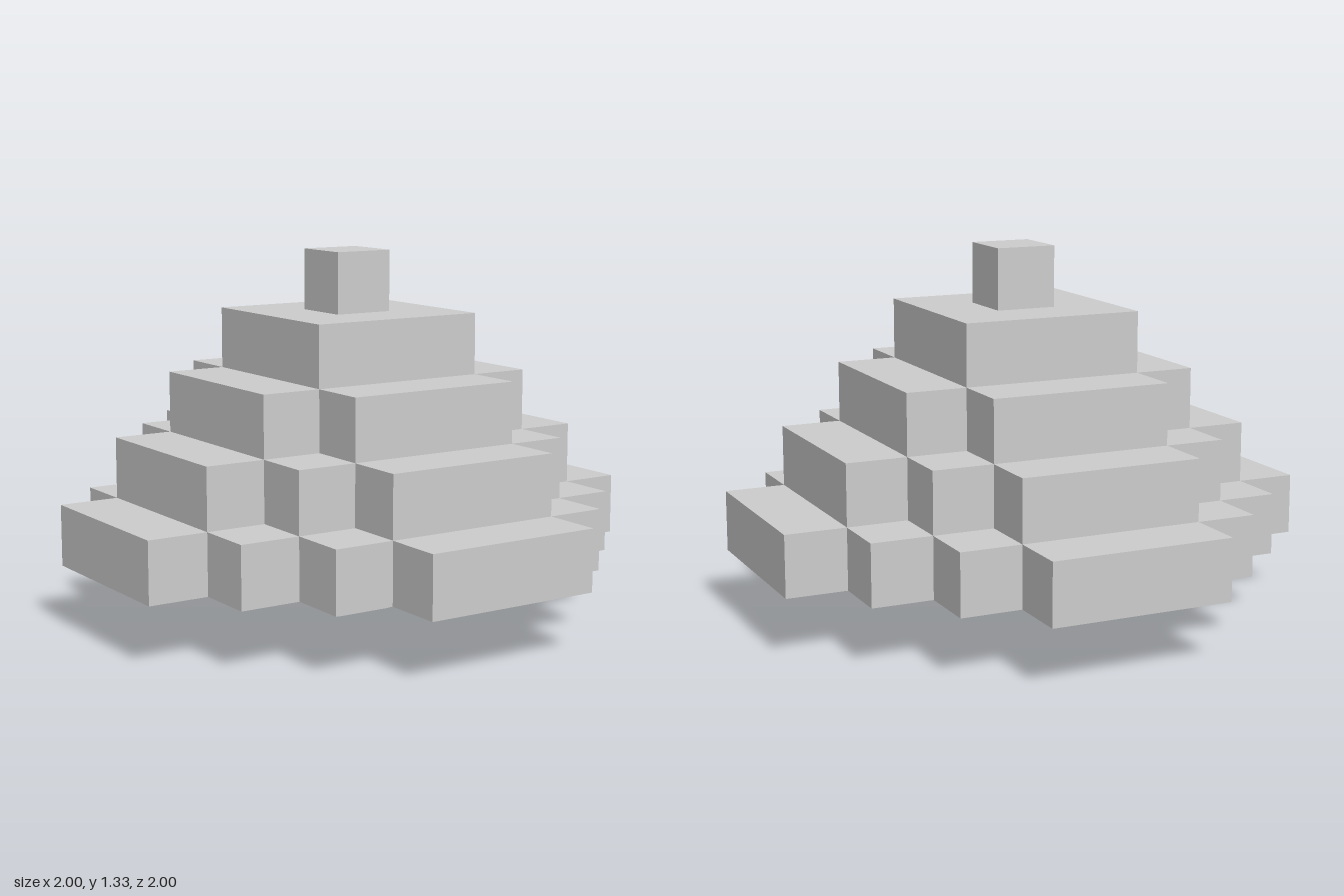
import * as THREE from 'three';

const U = 2 / 9; // one block
const material = new THREE.MeshStandardMaterial({ color: 0xcccccc, flatShading: true });

// Stepped diamond outline with `steps` outward corners per quadrant
function steppedOutline(steps) {
  const quadrant = [];
  for (let i = 0; i < steps; i++) {
    const x = steps + 0.5 - i;
    const y = 1.5 + i;
    if (i > 0) quadrant.push([x, y - 1]); // inner corner
    quadrant.push([x, y]); // outer corner
  }
  const points = [];
  for (let q = 0; q < 4; q++) {
    for (const [x, y] of quadrant) {
      const [px, py] = [[x, y], [-y, x], [-x, -y], [y, -x]][q];
      points.push(new THREE.Vector2(px * U, py * U));
    }
  }
  return new THREE.Shape(points);
}

function addPart(group, name, geometry, y) {
  const mesh = new THREE.Mesh(geometry, material);
  mesh.name = name;
  mesh.position.y = y;
  group.add(mesh);
}

export function createModel() {
  const group = new THREE.Group();
  group.name = 'blockTree';

  // Trunk and tip: single blocks
  addPart(group, 'trunk', new THREE.BoxGeometry(U, U, U), U * 0.5);
  addPart(group, 'tip', new THREE.BoxGeometry(U, U, U), U * 5.5);

  // Foliage tiers, widest at the bottom
  for (let tier = 1; tier <= 4; tier++) {
    const geometry = new THREE.ExtrudeGeometry(steppedOutline(5 - tier), { depth: U, bevelEnabled: false });
    geometry.rotateX(-Math.PI / 2);
    addPart(group, `foliageTier${tier}`, geometry, U * tier);
  }
  return group;
}
